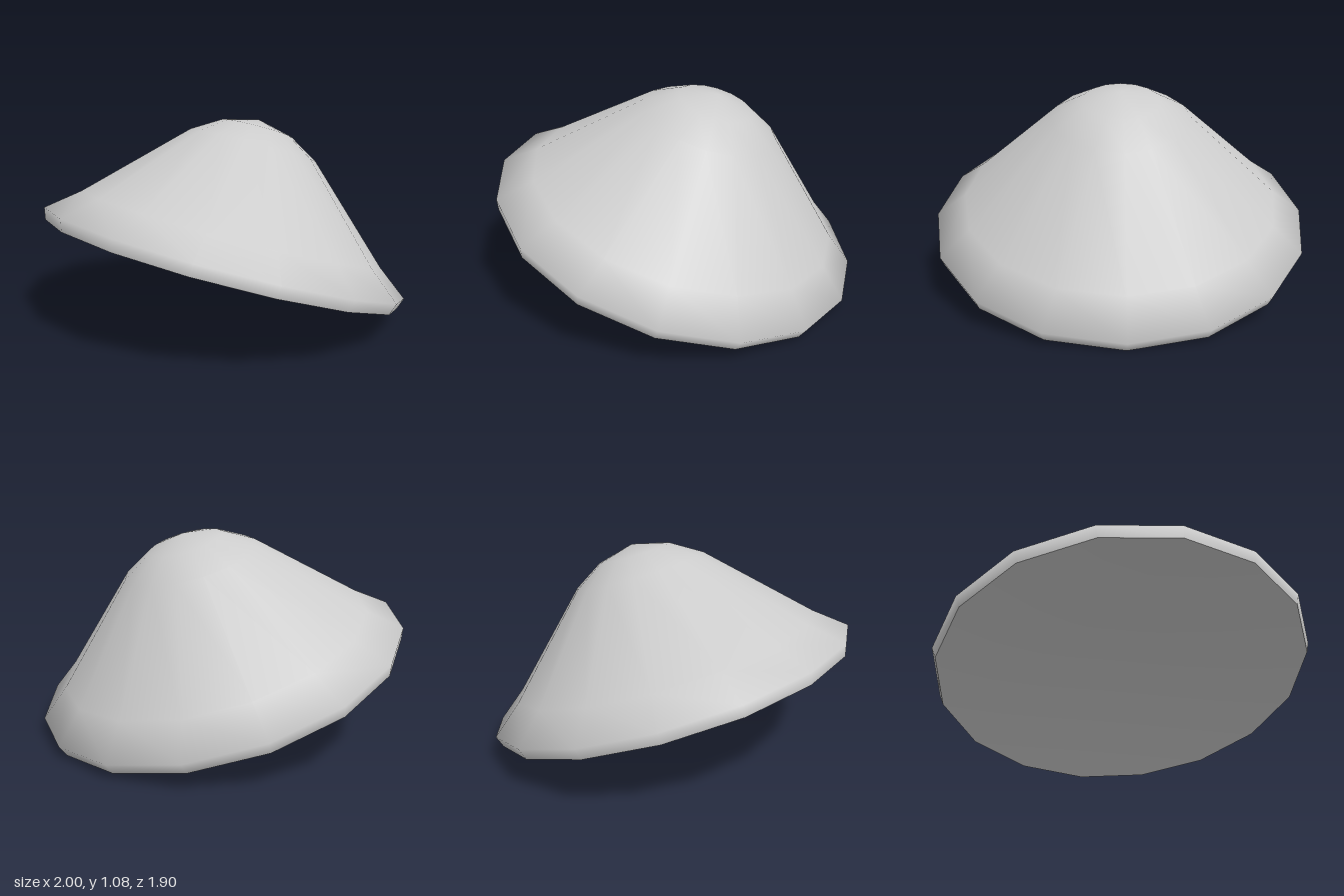
import * as THREE from 'three';

// Revolves a profile in 16 sides; every segment counts equally in the smooth normals
function revolve(name, profile, material) {
  const points = profile.map(([r, y]) => new THREE.Vector2(r, y));
  const across = points.slice(1).map((p, i) => {
    const d = p.clone().sub(points[i]).normalize();
    return new THREE.Vector2(d.y, -d.x);
  });
  const normals = points.map((p, i) => {
    const before = across[Math.max(i - 1, 0)];
    const after = across[Math.min(i, across.length - 1)];
    const n = before.clone().add(after);
    if (p.x === 0) n.x = 0; // the tip points straight along the axis
    return n.normalize();
  });
  const geometry = new THREE.LatheGeometry(points, 16);
  const normal = geometry.attributes.normal;
  for (let i = 0; i < normal.count; i++) {
    const n = normals[i % points.length];
    const angle = Math.floor(i / points.length) * Math.PI / 8;
    normal.setXYZ(i, n.x * Math.sin(angle), n.y, n.x * Math.cos(angle));
  }
  const mesh = new THREE.Mesh(geometry, material);
  mesh.name = name;
  return mesh;
}

export function createModel() {
  const model = new THREE.Group();
  const grey = new THREE.MeshStandardMaterial({ color: 0xcccccc });
  grey.name = 'plain grey';

  const hat = new THREE.Group();
  hat.name = 'conicalHat';

  // Turned-in rim, flared brim, straight cone, rounded tip
  hat.add(revolve('crown', [
    [0.979, 0], [1, 0.061], [0.836, 0.19], [0.357, 0.654], [0.199, 0.75], [0, 0.8],
  ], grey));

  // Conical hollow on the underside
  hat.add(revolve('underside', [[0, 0.5], [0.979, 0]], grey));

  // Tipped back so the front of the brim is raised
  hat.rotation.x = -0.315;
  hat.position.set(0, 0.303, 0.02);
  model.add(hat);
  return model;
}
